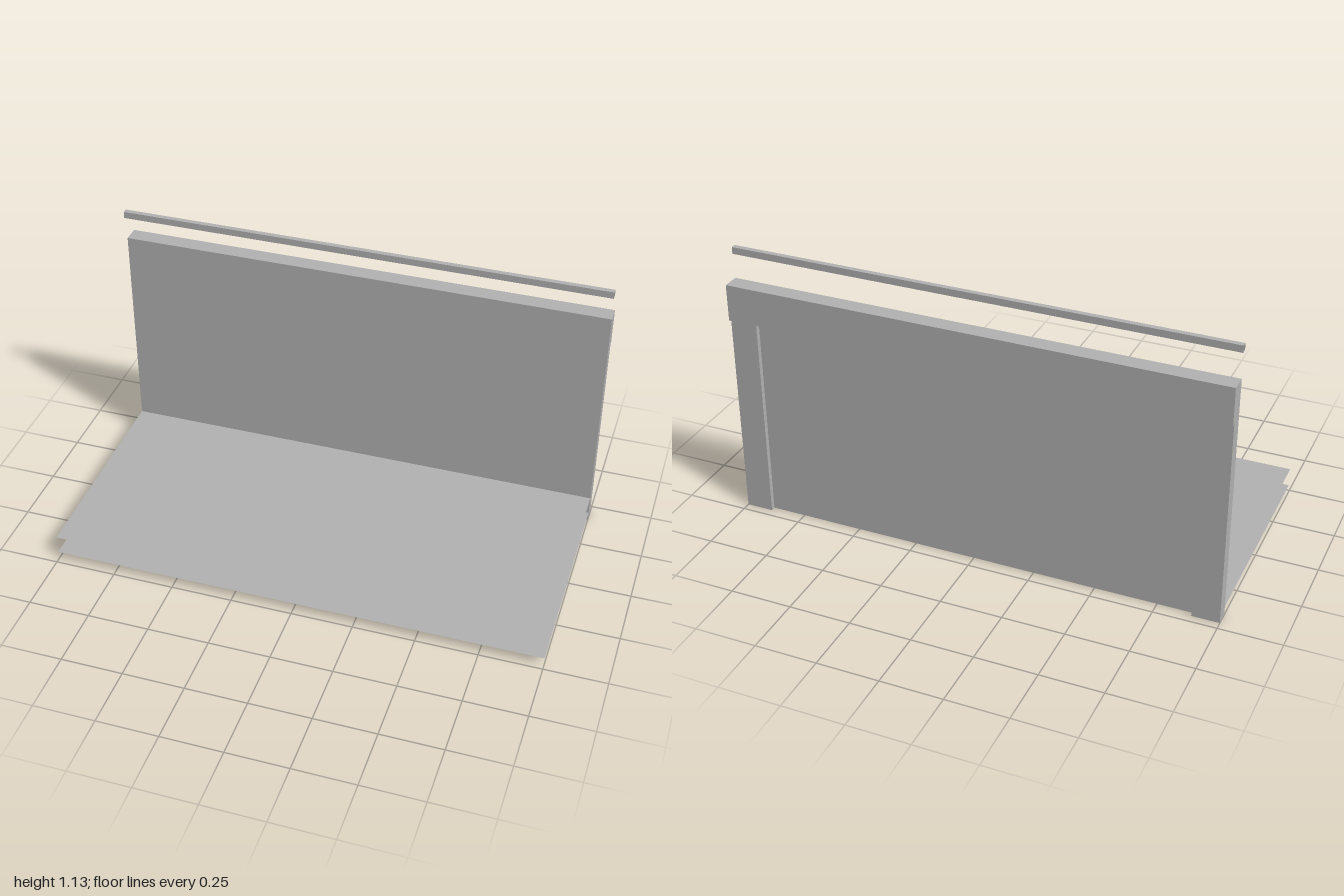
import * as THREE from 'three';

export function createModel() {
  const model = new THREE.Group();
  const grey = new THREE.MeshStandardMaterial({ color: 0xb2b2b2, side: THREE.DoubleSide });
  grey.name = 'plain grey';

  const add = (name, geometry, x, y, z) => {
    const mesh = new THREE.Mesh(geometry, grey);
    mesh.name = name;
    mesh.position.set(x, y, z);
    model.add(mesh);
    return mesh;
  };

  // Box placed by its x, y and z ranges
  const slab = (name, [x0, x1], [y0, y1], [z0, z1]) =>
    add(name, new THREE.BoxGeometry(x1 - x0, y1 - y0, z1 - z0),
      (x0 + x1) / 2, (y0 + y1) / 2, (z0 + z1) / 2);

  const front = -0.411, postWidth = 0.11, bandBottom = 0.85;

  // Wall: recessed panel framed by two posts and an overhanging top band
  slab('wallPanel', [-1 + postWidth, 1 - postWidth], [0, bandBottom], [-0.446, front]);
  slab('rightPost', [-1, -1 + postWidth], [0, bandBottom], [-0.466, front]);
  slab('leftPost', [1 - postWidth, 1], [0, bandBottom], [-0.466, front]);
  slab('topBand', [-1, 1], [bandBottom, 1], [-0.48, front]);

  // Two thin floor sheets in front of the wall
  const depth = 0.48 - front;
  for (const [name, y] of [['lowerSheet', 0.037], ['upperSheet', 0.115]]) {
    add(name, new THREE.PlaneGeometry(2, depth).rotateX(-Math.PI / 2), 0, y, (0.48 + front) / 2);
  }

  // Hollow rail above the wall: the first two box faces (its ends) are left out
  const rail = new THREE.BoxGeometry(2, 0.028, 0.021);
  rail.setIndex(Array.from(rail.index.array).slice(12));
  rail.clearGroups();
  add('topRail', rail, 0, 1.117, -0.406);

  return model;
}
